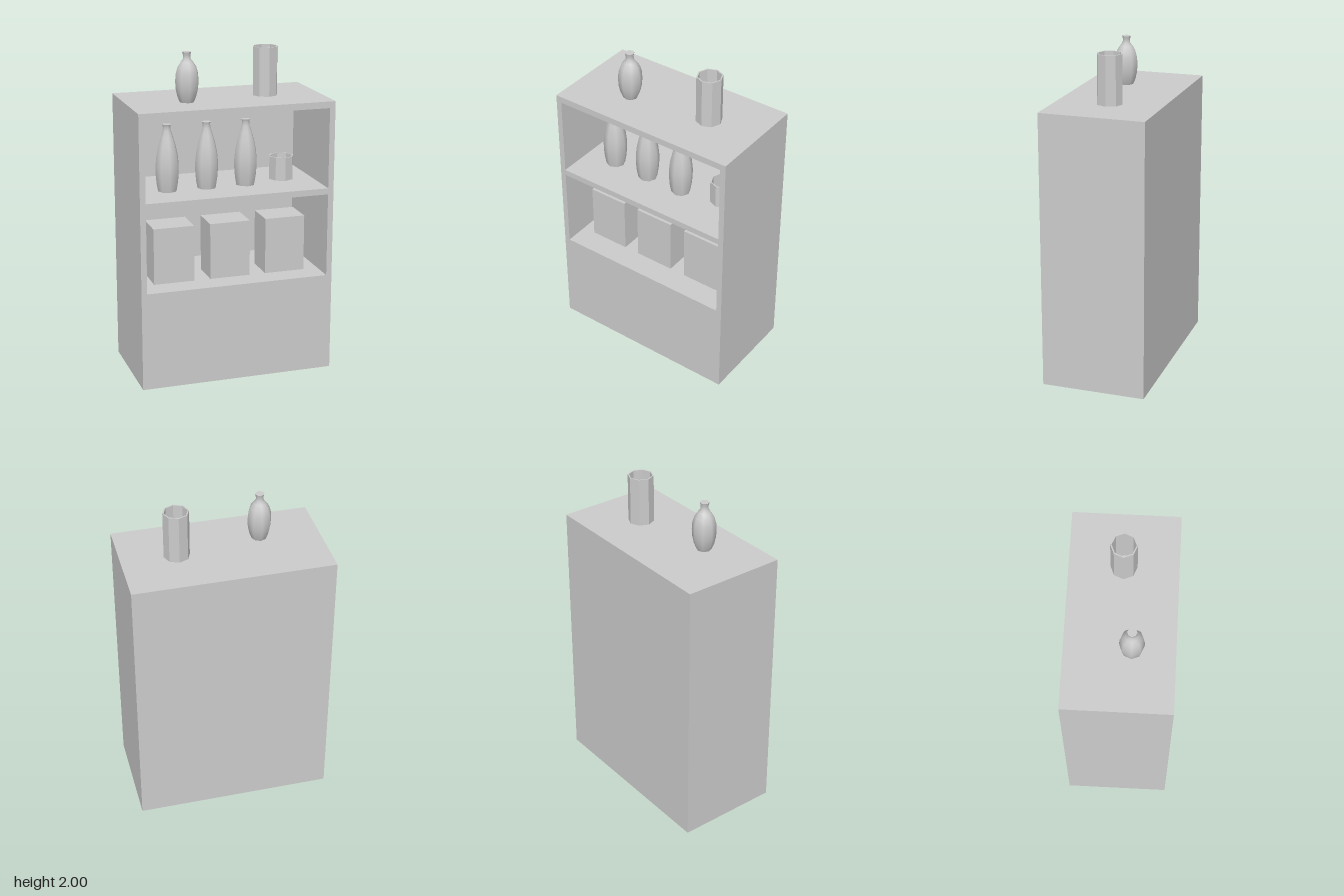
import * as THREE from 'three';

const grey = new THREE.MeshStandardMaterial({ color: 0xcccccc });
const facetedGrey = new THREE.MeshStandardMaterial({ color: 0xcccccc, flatShading: true });

const W = 1.21, H = 1.7, D = 0.64, BACK = 0.035;
const LOWER_FLOOR = 0.61, UPPER_FLOOR = 1.165;

function add(parent, name, geometry, x, y, z, material = grey) {
  const mesh = new THREE.Mesh(geometry, material);
  mesh.name = name;
  mesh.position.set(x, y, z);
  parent.add(mesh);
  return mesh;
}

// rectangle traced on a shape or path
function rect(path, x0, y0, x1, y1) {
  path.moveTo(x0, y0);
  path.lineTo(x1, y0);
  path.lineTo(x1, y1);
  path.lineTo(x0, y1);
  path.closePath();
  return path;
}

// eight-sided, smooth-shaded vessel with a flat lid
function addBottle(parent, name, profile, x, y, z) {
  const bottle = new THREE.Group();
  bottle.name = name;
  bottle.position.set(x, y, z);
  const points = profile.map(([r, h]) => new THREE.Vector2(r, h));
  const top = points[points.length - 1], base = points[0];
  add(bottle, 'bottleBody', new THREE.LatheGeometry(points, 8), 0, 0, 0);
  add(bottle, 'bottleTop', new THREE.CircleGeometry(top.x, 8).rotateX(-Math.PI / 2), 0, top.y, 0);
  add(bottle, 'bottleBase', new THREE.CircleGeometry(base.x, 8).rotateX(Math.PI / 2), 0, base.y, 0);
  parent.add(bottle);
}

// octagonal thin-walled open pot
function addPot(parent, name, height, x, y, z) {
  const r = 0.078, t = 0.008;
  const points = [[0, 0], [r, 0], [r, height], [r - t, height], [r - t, t], [0, t]]
    .map(([a, b]) => new THREE.Vector2(a, b));
  add(parent, name, new THREE.LatheGeometry(points, 8), x, y, z, facetedGrey);
}

export function createModel() {
  const model = new THREE.Group();
  model.name = 'shelfCabinet';

  // cabinet carcass with two open compartments, closed by a back panel
  const front = rect(new THREE.Shape(), -W / 2, 0, W / 2, H);
  front.holes.push(rect(new THREE.Path(), -0.57, LOWER_FLOOR, 0.57, 1.127));
  front.holes.push(rect(new THREE.Path(), -0.57, UPPER_FLOOR, 0.57, 1.66));
  const carcass = new THREE.ExtrudeGeometry(front, { depth: D - BACK, bevelEnabled: false });
  add(model, 'cabinetBody', carcass, 0, 0, -D / 2 + BACK);
  add(model, 'backPanel', new THREE.BoxGeometry(W, H, BACK), 0, H / 2, -D / 2 + BACK / 2);

  // boxes in the lower compartment
  for (const x of [-0.36, -0.005, 0.35]) {
    add(model, 'storageBox', new THREE.BoxGeometry(0.254, 0.35, 0.2), x, LOWER_FLOOR + 0.175, 0.07);
  }

  // tall bottles and a short pot in the upper compartment
  const tall = [[0.058, 0], [0.067, 0.05], [0.072, 0.11], [0.072, 0.16], [0.066, 0.22],
    [0.053, 0.28], [0.038, 0.33], [0.025, 0.37], [0.023, 0.395], [0.028, 0.408]];
  for (const x of [-0.37, -0.123, 0.125]) addBottle(model, 'tallBottle', tall, x, UPPER_FLOOR, 0.07);
  addPot(model, 'shortPot', 0.145, 0.383, UPPER_FLOOR, 0);

  // vase and tall pot on top
  const vase = [[0.044, 0], [0.059, 0.035], [0.069, 0.08], [0.072, 0.125], [0.069, 0.17],
    [0.058, 0.21], [0.038, 0.24], [0.024, 0.258], [0.023, 0.28], [0.028, 0.3]];
  addBottle(model, 'vase', vase, -0.243, H, 0.07);
  addPot(model, 'tallPot', 0.298, 0.272, H, 0);

  return model;
}
